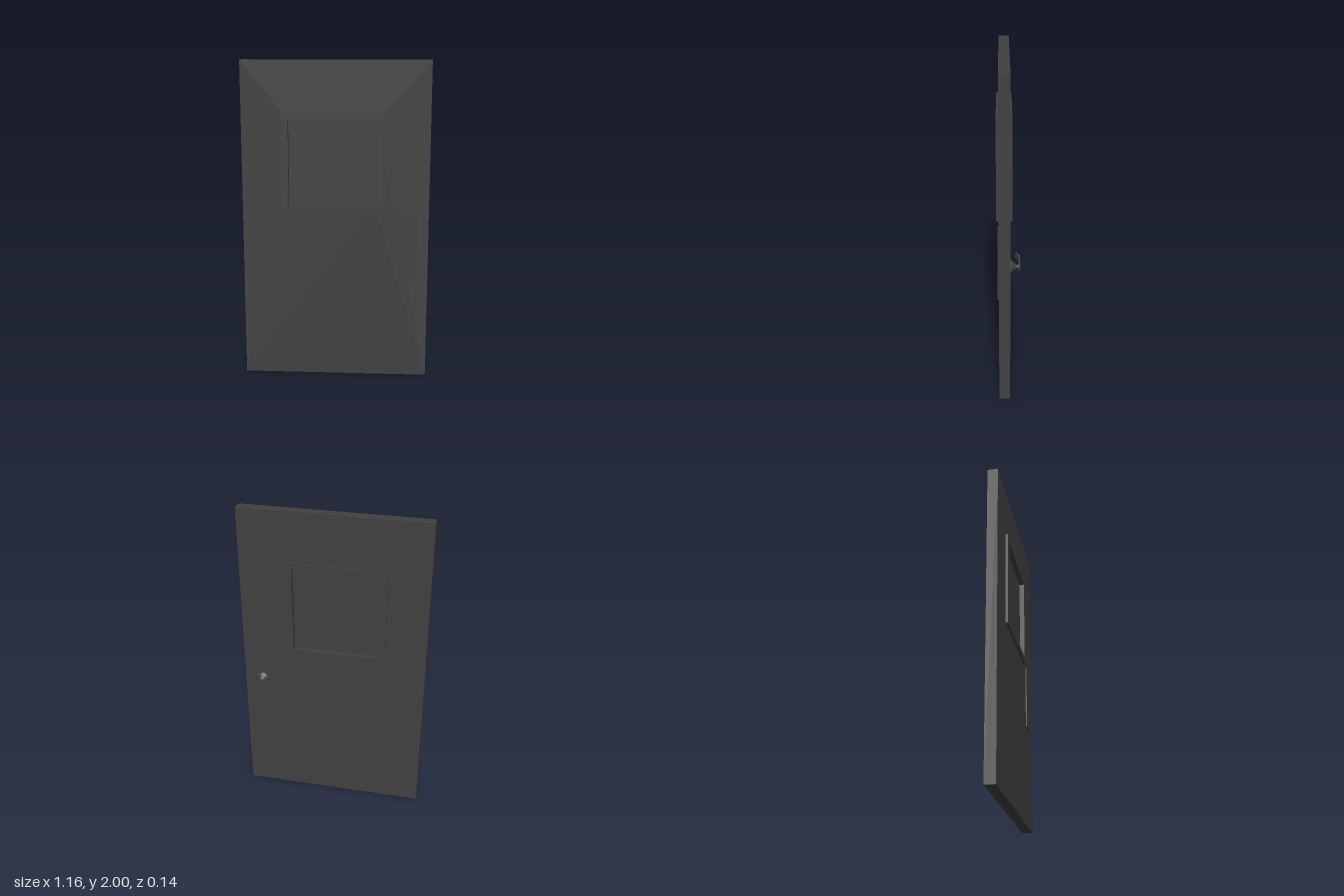
import * as THREE from 'three';

const material = new THREE.MeshStandardMaterial({ color: 0x404040 });

// Rectangle outline from its edges
function rect(Type, x0, x1, y0, y1) {
  return new Type([[x0, y0], [x1, y0], [x1, y1], [x0, y1]].map(p => new THREE.Vector2(...p)));
}

export function createModel() {
  const door = new THREE.Group();
  door.name = 'door';

  function add(name, geometry, parent = door) {
    const mesh = new THREE.Mesh(geometry, material);
    mesh.name = name;
    parent.add(mesh);
    return mesh;
  }

  // Rectangular panel between z0 and z1, optionally with a rectangular opening
  function panel(name, [x0, x1, y0, y1], z0, z1, opening) {
    const shape = rect(THREE.Shape, x0, x1, y0, y1);
    if (opening) shape.holes.push(rect(THREE.Path, ...opening));
    const geometry = new THREE.ExtrudeGeometry(shape, { depth: z1 - z0, bevelEnabled: false });
    return add(name, geometry.translate(0, 0, z0));
  }

  const opening = [-0.29, 0.25, 1.095, 1.645];
  const trim = [-0.33, 0.293, 1.057, 1.684];
  const back = -0.011, front = 0.055;

  // Slab, window and push plate
  panel('slab', [-0.58, 0.58, 0, 2], back, front, opening);
  panel('frontWindowFrame', trim, front, 0.071, opening);
  panel('backWindowFrame', trim, -0.026, back, opening);
  panel('windowPane', opening, 0.005, 0.04);
  panel('pushPlate', [0.365, 0.51, 0.645, 1.06], front, 0.063);

  // Lever handle on the back
  const handle = new THREE.Group();
  handle.name = 'handle';
  handle.position.set(0.467, 0.843, 0);
  door.add(handle);

  // Flared rosette and neck, turned around an axis pointing to the back
  const profile = [
    [0.043, 0], [0.043, 0.004], [0.039, 0.009], [0.031, 0.015], [0.026, 0.02],
    [0.023, 0.027], [0.017, 0.033], [0.013, 0.038], [0.012, 0.044], [0.015, 0.049],
    [0.015, 0.056],
  ].map(p => new THREE.Vector2(...p));
  add('rosette', new THREE.LatheGeometry(profile, 32).rotateX(-Math.PI / 2), handle).position.z = back;

  // Flat lever with its free end bent towards the door
  const lever = new THREE.Shape([
    [0.02, -0.071], [0.02, -0.061], [-0.12, -0.061], [-0.155, -0.042],
    [-0.161, -0.05], [-0.123, -0.071],
  ].map(p => new THREE.Vector2(...p)));
  const leverGeometry = new THREE.ExtrudeGeometry(lever, { depth: 0.032, bevelEnabled: false });
  add('lever', leverGeometry.rotateX(Math.PI / 2).translate(0, 0.016, 0), handle);

  return door;
}
